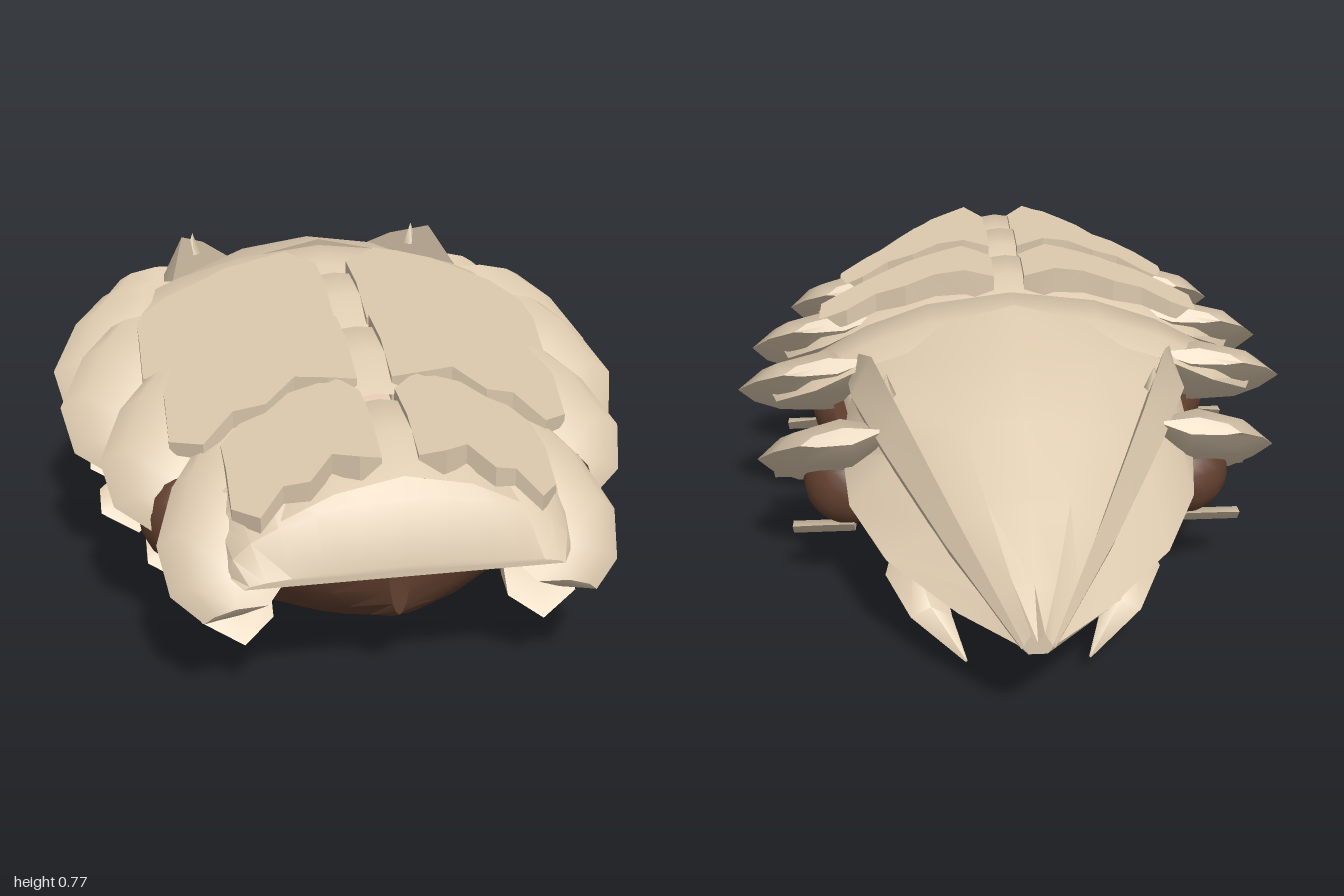
import * as THREE from 'three';
import { toCreasedNormals } from 'three/addons/utils/BufferGeometryUtils.js';

const mat = (name, color) => Object.assign(new THREE.MeshStandardMaterial({ color }), { name });
const shell = mat('shell tan', 0xdcc9ae);
const brown = mat('belly brown', 0x613f2e);
const flesh = mat('pale flesh', 0xe6cab5);

// Closed solid through rings of points, capped at both ends and wound outward
function loft(rings, crease = 0.6) {
  const n = rings[0].length, pos = rings.flat(2), idx = [];
  for (let i = 0; i < rings.length - 1; i++) {
    for (let j = 0; j < n; j++) {
      const a = i * n + j, b = i * n + (j + 1) % n;
      idx.push(a, b, a + n, b, b + n, a + n);
    }
  }
  [0, rings.length - 1].forEach((r, end) => {
    const c = pos.length / 3;
    pos.push(...[0, 1, 2].map(k => rings[r].reduce((s, p) => s + p[k], 0) / n));
    for (let j = 0; j < n; j++) {
      const a = r * n + j, b = r * n + (j + 1) % n;
      idx.push(...(end ? [a, b, c] : [b, a, c]));
    }
  });
  const v = i => new THREE.Vector3().fromArray(pos, i * 3);
  let volume = 0;
  for (let i = 0; i < idx.length; i += 3) volume += v(idx[i]).dot(v(idx[i + 1]).cross(v(idx[i + 2])));
  if (volume < 0) idx.reverse();
  const g = new THREE.BufferGeometry();
  g.setAttribute('position', new THREE.Float32BufferAttribute(pos, 3));
  g.setIndex(idx);
  return toCreasedNormals(g, crease);
}

// Half arch of a shell segment: x share, height share, z shift, half width in z
const ARCH = [
  [0, 1, 0, .16], [.3, .93, 0, .16], [.52, .8, -.01, .16], [.72, .62, -.03, .14], [.88, .4, .02, .08],
];
// Side lappet from rear top to front bottom: inner x, outer x, height share, z shift, half thickness
const LAPPET = [
  [.5, .82, .74, -.15, .022], [.43, .93, .6, -.08, .058], [.42, 1.02, .37, .04, .068],
  [.47, .98, .14, .13, .055], [.58, .85, .03, .19, .02],
];

// Segments: half width, top, bottom, z of the top
const SEGMENTS = [
  { w: .51, t: .59, b: .25, z: .79 },
  { w: .615, t: .66, b: .33, z: .5 },
  { w: .7, t: .7, b: .33, z: .2 },
  { w: .715, t: .7, b: .33, z: -.05 },
  { w: .645, t: .66, b: .27, z: -.33, lappetOnly: true },
];

// Segments bow down toward their front edge, most strongly at the sides
const drop = (f, dz) => (dz > 0 ? .2 + .5 * f * f : .1) * dz;

function archHeight(s, x) {
  const f = x / s.w;
  const i = ARCH.findIndex(a => a[0] > f);
  const [p, q] = [ARCH[i - 1], ARCH[i]];
  return s.b + (s.t - s.b) * (p[1] + (q[1] - p[1]) * (f - p[0]) / (q[0] - p[0]));
}

// Sweep of a lens-shaped section over the back
function archBand(s) {
  const lens = [[-1, -.5], [-.6, .5], [.3, .8], [1, -.3], [.2, -.9]];
  const path = [...ARCH.slice(1).map(([x, ...r]) => [-x, ...r]).reverse(), ...ARCH];
  const pts = path.map(([x, f, dz, hw]) => [x * s.w, s.b + (s.t - s.b) * f, s.z + dz, hw]);
  return loft(pts.map((p, i) => {
    const a = pts[Math.max(i - 1, 0)], b = pts[Math.min(i + 1, pts.length - 1)];
    const dx = b[0] - a[0], dy = b[1] - a[1], l = Math.hypot(dx, dy), h = .035;
    return lens.map(([u, v]) => [
      p[0] - dy / l * v * h, p[1] + dx / l * v * h - drop(p[0] / s.w, u * p[3]), p[2] + u * p[3],
    ]);
  }), 0.7);
}

// Slanted leaf beside a segment, thick in the middle and thin at its edges
function lappet(s, side) {
  const leaf = [[0, .3, .02], [.5, 1, .012], [.85, .65, 0], [1, 0, -.01], [.8, -.6, 0], [.4, -.9, .012]];
  return loft(LAPPET.map(([xi, xo, f, dz, h]) => leaf.map(([u, v, lift]) => [
    side * s.w * (xi + (xo - xi) * u),
    s.b + (s.t - s.b) * f + v * h * .75 + lift,
    s.z + dz + v * h * .66,
  ])), 0.8);
}

export function createModel() {
  const model = new THREE.Group();
  const add = (name, geo, material) => {
    const m = new THREE.Mesh(geo, material);
    m.name = name;
    model.add(m);
    return m;
  };

  // Half-elliptic hulls: z, half width, flat edge height, outermost height
  const hull = rows => loft(rows.map(([z, w, base, y]) =>
    Array.from({ length: 13 }, (_, i) => {
      const a = Math.PI * i / 12;
      return [w * Math.cos(a), base + (y - base) * Math.sin(a), z];
    })), 0.5);
  add('belly', hull([
    [.93, .03, .41, .2], [.86, .2, .41, .155], [.76, .34, .41, .1], [.58, .46, .41, .003],
    [.15, .5, .41, 0], [-.45, .42, .41, .15],
  ]), brown);
  add('innerBody', hull([[.88, .34, .4, .48], [.55, .44, .4, .56], [.1, .47, .4, .6], [-.45, .38, .4, .5]]), flesh);
  add('frontHood', hull([[.7, .42, .4, .6], [.86, .4, .37, .58], [.95, .38, .345, .49], [1, .35, .335, .36]]), shell);

  // Overlapping shell segments
  SEGMENTS.forEach((s, i) => {
    if (!s.lappetOnly) add('shellSegment' + (i + 1), archBand(s), shell);
  });

  // Tail shield: z, centre top, ridge x and y, outer x and y, bottom
  add('tailShield', loft([
    [-.18, .745, .4, .6, .43, .49, .42], [-.34, .695, .37, .59, .44, .44, .38],
    [-.5, .62, .29, .53, .42, .39, .345], [-.7, .51, .19, .45, .33, .365, .325],
    [-.88, .41, .1, .385, .17, .34, .315], [-.99, .335, .03, .33, .035, .325, .305],
  ].map(([z, t, rx, ry, ox, oy, b], i) => {
    const half = [[rx * .5, (t + ry) / 2 + .025, z], [rx, ry, z], [ox, oy, z], [ox * .6, b, z]];
    if (i === 0) half[0][2] += .03, half[1][2] -= .03, half[2][2] -= .05;
    return [[0, t, i ? z : z + .04], ...half, [0, b, z], ...half.map(([x, y, zz]) => [-x, y, zz]).reverse()];
  }), 0.45), shell);

  for (const side of [1, -1]) {
    const label = side > 0 ? 'Left' : 'Right';

    SEGMENTS.forEach(s => add('lappet' + label, lappet(s, side), shell));

    // Long blade on the edge of the tail shield: x, y, z, half width, half height
    add('tailBlade' + label, loft([
      [.4, .57, -.18, .025, .07], [.365, .62, -.34, .045, .09], [.29, .565, -.52, .04, .075],
      [.17, .455, -.76, .025, .05], [.035, .335, -1, .004, .008],
    ].map(([x, y, z, w, h]) => [[-.2, 1], [1, -.2], [.4, -1], [-1, -.3]]
      .map(([u, v]) => [side * (x + u * w), y + v * h, z]))), shell);

    // Small horn beside the blade
    const horn = add('tailHorn' + label, new THREE.ConeGeometry(.022, .06, 5), shell);
    horn.position.set(side * .32, .67, -.41);

    // Hip joints
    for (const z of [.62, .13, -.27]) {
      const hip = add('hip' + label, new THREE.SphereGeometry(.118, 16, 10), brown);
      hip.position.set(side * .43, .33, z);
    }

    // Flat slanted feet: x offset, low and high edge
    [[.82, .35], [.53, .45], [.25, .55], [-.02, .57], [-.3, .5]].forEach(([z, x]) => {
      add('foot' + label, loft([[-.08, .18, .25], [-.01, .145, .265], [.08, .18, .22]].map(([dx, lo, hi]) => {
        const mid = (lo + hi) / 2, zAt = y => z + .09 - (y - .145) * 1.5;
        return [[lo, 0], [mid, .014], [hi, 0], [mid, -.014]]
          .map(([y, h]) => [side * (x + dx), y + h, zAt(y) + h * .5]);
      }), 1), shell);
    });

    // Curved tail claws
    add('tailClaw' + label, loft([
      [.26, .215, -.4, .06, .045], [.27, .205, -.53, .07, .042],
      [.23, .155, -.64, .05, .028], [.15, .08, -.72, .004, .004],
    ].map(([x, y, z, w, h]) => [[1, 0], [0, 1], [-1, 0], [0, -1]]
      .map(([u, v]) => [side * (x + u * w), y + v * h, z])), 1), shell);

    // Jagged back plates, thinner and shorter toward their outer ends
    const front = [-.03, .0, -.035, .01, -.02, .015, .0];
    const rear = [.02, 0, .01, -.005, .015, .0, .04];
    [[0, .36, .15], [1, .47, .16], [2, .51, .165]].forEach(([k, reach, hw]) => {
      const s = SEGMENTS[k];
      const geo = loft(front.map((f, i) => {
        const x = .04 + (reach - .04) * i / 6, thin = 1 - .08 * i;
        const y = archHeight(s, x) + (i ? .025 : -.015);
        const zf = s.z + hw + f - (i === 6 ? .06 : 0), zr = s.z - hw + rear[i];
        const at = (z, up) => [side * x, y + up * thin - drop(x / s.w, z - s.z), z];
        return [at(zf, .03), at(s.z, .05), at(zr, .045), at(zr, -.03), at(s.z, -.03), at(zf, -.03)];
      }), 0.4);
      // Upper faces share one upward normal so each plate reads as a single slab
      const normal = geo.attributes.normal;
      for (let i = 0; i < normal.count; i++) if (normal.getY(i) > .4) normal.setXYZ(i, 0, 1, 0);
      add('backPlate' + label, geo, shell);
    });
  }
  return model;
}
